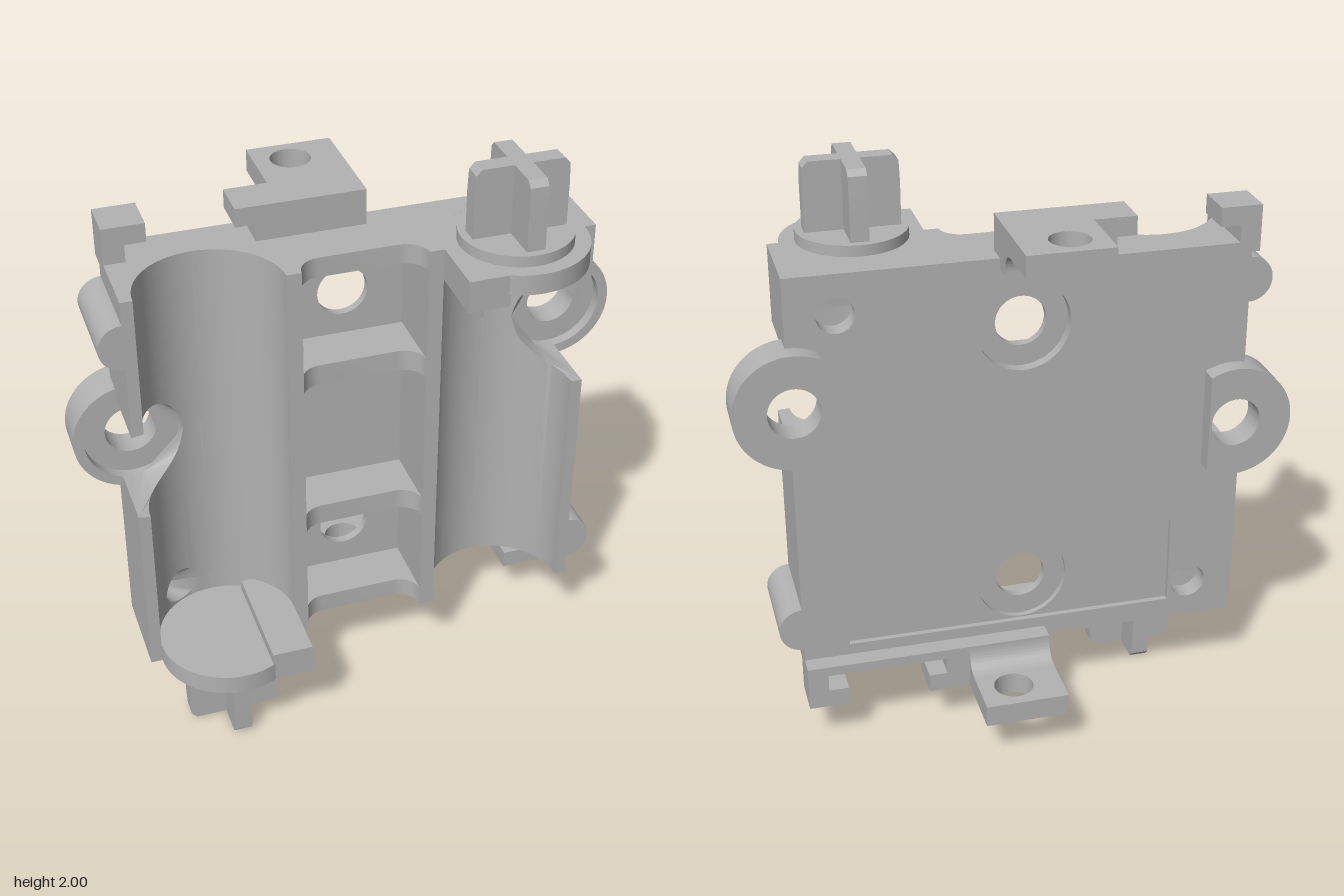
import * as THREE from 'three';
import { toCreasedNormals } from 'three/addons/utils/BufferGeometryUtils.js';

const TOP = 1.725, BOTTOM = 0.275, BACK = -0.12, FLOOR = -0.05, FRONT = 0.195;
const TROUGH_X = 0.48, TROUGH_R = 0.24;

export function createModel() {
  const root = new THREE.Group();
  const grey = new THREE.MeshStandardMaterial({ color: 0xb2b2b2 });
  grey.name = 'light grey plastic';

  const add = (parent, name, geo) => {
    const mesh = new THREE.Mesh(geo, grey);
    mesh.name = name;
    parent.add(mesh);
    return mesh;
  };
  const poly = pts => new THREE.Shape(pts.map(p => new THREE.Vector2(p[0], p[1])));
  const circle = (x, y, r) => new THREE.Path().absarc(x, y, r, 0, Math.PI * 2, true);
  const rect = (x0, x1, y0, y1) => poly([[x0, y0], [x1, y0], [x1, y1], [x0, y1]]);

  // Front-view outline given thickness from z0 to z1
  const plate = (shape, z0, z1) => {
    const g = new THREE.ExtrudeGeometry(shape, { depth: z1 - z0, bevelEnabled: false, curveSegments: 32 });
    return toCreasedNormals(g.translate(0, 0, z0), 0.5);
  };
  // Plan outline of [x, z] points, its ends shaped by lo(x) and hi(x)
  const column = (pts, lo, hi) => {
    const g = new THREE.ExtrudeGeometry(poly(pts.map(([x, z]) => [x, -z])), { depth: 1, bevelEnabled: false });
    g.rotateX(-Math.PI / 2);
    const p = g.attributes.position;
    for (let i = 0; i < p.count; i++) {
      const x = p.getX(i);
      p.setY(i, p.getY(i) > 0.5 ? hi(x) : lo(x));
    }
    g.computeVertexNormals();
    return toCreasedNormals(g, 0.5);
  };
  const box = (x0, x1, y0, y1, z0, z1) =>
    new THREE.BoxGeometry(x1 - x0, y1 - y0, z1 - z0).translate((x0 + x1) / 2, (y0 + y1) / 2, (z0 + z1) / 2);

  // Back plate in three layers: label recess, counterbores, ear pockets
  const backLayer = (earR, centreR, recess) => {
    const s = new THREE.Shape();
    const a = Math.acos(0.01 / earR), b = Math.acos(0.045 / earR);
    s.moveTo(-0.8, BOTTOM).lineTo(0.76, BOTTOM);
    s.absarc(0.75, 1.29, earR, -a, a, true);
    s.lineTo(0.76, TOP).lineTo(-0.8, TOP);
    s.absarc(-0.755, 1.07, earR, Math.PI - b, Math.PI + b, true);
    s.closePath();
    s.holes.push(circle(0.595, 1.585, 0.063), circle(-0.635, 0.415, 0.063), circle(-0.02, 1.485, centreR));
    s.holes.push(recess ? rect(-0.56, 0.6, 0.35, 0.68) : circle(-0.02, 0.515, centreR));
    return s;
  };
  add(root, 'backPlateOuter', plate(backLayer(0.087, 0.16, true), BACK, -0.1));
  add(root, 'backPlateMiddle', plate(backLayer(0.087, 0.16, false), -0.1, -0.08));
  add(root, 'backPlateInner', plate(backLayer(0.165, 0.087, false), -0.08, FLOOR));

  // One half of the holder; the other is the same turned half a turn
  const half = (name, earX, earY) => {
    const h = new THREE.Group();
    h.name = name;
    root.add(h);

    // Trough: quarter arcs toward the centre web and toward the outer wall
    const quarter = (dir, wallX) => {
      const n = 40, arc = [];
      for (let i = 0; i <= n; i++) {
        const a = i / n * Math.PI / 2;
        arc.push([TROUGH_X + dir * TROUGH_R * Math.sin(a), FRONT - TROUGH_R * Math.cos(a)]);
      }
      const base = arc.map(([x]) => [x, FLOOR]).reverse();
      return [...arc, [wallX, FRONT], [wallX, FLOOR], ...base];
    };
    add(h, 'innerTroughWall', column(quarter(-1, 0.19), () => BOTTOM, () => TOP));

    // Outer wall, split by the ear pocket and the small round hole
    const cuts = [{ x: earX, y: earY, r: 0.165 }, { x: 0.595, y: 1.585, r: 0.063 }];
    const reach = (c, x) => Math.sqrt(Math.max(0, c.r ** 2 - (x - c.x) ** 2));
    for (let i = 0; i <= cuts.length; i++) {
      const below = cuts[i - 1], above = cuts[i];
      add(h, 'outerTroughWall', column(quarter(1, 0.76),
        x => below ? below.y + reach(below, x) : BOTTOM,
        x => above ? above.y - reach(above, x) : TOP));
    }

    // Mounting ear, flat on the inner side, with a counterbored hole
    const ear = holeR => {
      const a = Math.acos(-0.095 / 0.2);
      const s = new THREE.Shape().absarc(earX, earY, 0.2, -a, a, false);
      s.closePath();
      if (holeR < 0.1) s.holes.push(circle(earX, earY, holeR));
      return s;
    };
    add(h, 'mountingEar', plate(ear(0.087), -0.184, -0.08));
    const rim = new THREE.Shape();
    const ro = Math.acos(-0.095 / 0.2), ri = Math.acos(-0.095 / 0.165);
    rim.absarc(earX, earY, 0.2, -ro, ro, false);
    rim.absarc(earX, earY, 0.165, ri, -ri, true);
    rim.closePath();
    add(h, 'mountingEarRim', plate(rim, -0.08, -0.042));

    // Half-round rib on the outer side
    const bump = new THREE.Shape().absarc(0.76, 0.435, 0.08, -Math.PI / 2, Math.PI / 2, false);
    add(h, 'sideRib', plate(bump, BACK, FRONT));

    // End disc, corner block and collar
    const disc = (r, y0, y1) => new THREE.CylinderGeometry(r, r, y1 - y0, 64).translate(TROUGH_X, (y0 + y1) / 2, FRONT);
    add(h, 'endDisc', disc(TROUGH_R, 1.655, TOP));
    add(h, 'endBlock', box(0.24, 0.38, 1.615, TOP, 0, 0.41));
    add(h, 'pinCollar', disc(0.188, TOP, 1.763));

    // Cross-shaped pin with chamfered tips
    for (const turn of [0, Math.PI / 2]) {
      const g = plate(poly([[-0.16, 1.76], [0.16, 1.76], [0.16, 1.91], [0.157, 1.98], [0.138, 2],
        [-0.138, 2], [-0.157, 1.98], [-0.16, 1.91]]), -0.031, 0.031);
      add(h, 'crossPin', g.rotateY(turn).translate(TROUGH_X, 0, FRONT));
    }

    // Cross ribs of the centre channel, with filleted fronts
    const ribPts = [[-0.23, FLOOR], [0.19, FLOOR]];
    for (let i = 0; i <= 8; i++) {
      const a = i / 8 * Math.PI / 2;
      ribPts.push([0.115 + 0.075 * Math.cos(a), FRONT - 0.075 * Math.sin(a)]);
    }
    for (let i = 8; i >= 0; i--) {
      const a = i / 8 * Math.PI / 2;
      ribPts.push([-0.155 - 0.075 * Math.cos(a), FRONT - 0.075 * Math.sin(a)]);
    }
    for (const [y0, y1] of [[1.655, TOP], [1.25, 1.325]])
      add(h, 'channelRib', column(ribPts, () => y0, () => y1));

    // Rear rail with two facing hooks
    add(h, 'rearRail', box(-0.8, 0.06, 1.69, TOP, -0.184, BACK));
    add(h, 'cornerHook', plate(poly([[-0.8, TOP], [-0.73, TOP], [-0.73, 1.785], [-0.66, 1.785],
      [-0.66, 1.85], [-0.8, 1.85]]), -0.184, -0.042));
    add(h, 'centreHook', plate(poly([[-0.31, TOP], [0.06, TOP], [0.06, 1.85], [-0.375, 1.85],
      [-0.375, 1.785], [-0.31, 1.785]]), -0.184, -0.042));

    // Screw tab with a hole, and the fillet beneath it
    const tab = rect(-0.23, 0.06, 0.184, 0.435);
    tab.holes.push(circle(-0.108, 0.33, 0.068));
    add(h, 'screwTab', plate(tab, 0, 0.077).rotateX(-Math.PI / 2).translate(0, 1.773, 0));
    const fillet = new THREE.Shape();
    fillet.moveTo(0.184, 1.695).quadraticCurveTo(0.184, 1.773, 0.26, 1.773).lineTo(0.184, 1.773).closePath();
    add(h, 'tabFillet', plate(fillet, 0, 0.29).rotateY(Math.PI / 2).translate(-0.23, 0, 0));
    return h;
  };

  half('leftHalf', 0.75, 1.29);
  const turned = half('rightHalf', 0.715, 0.93);
  turned.rotation.z = Math.PI;
  turned.position.set(-0.04, 2, 0);
  return root;
}
